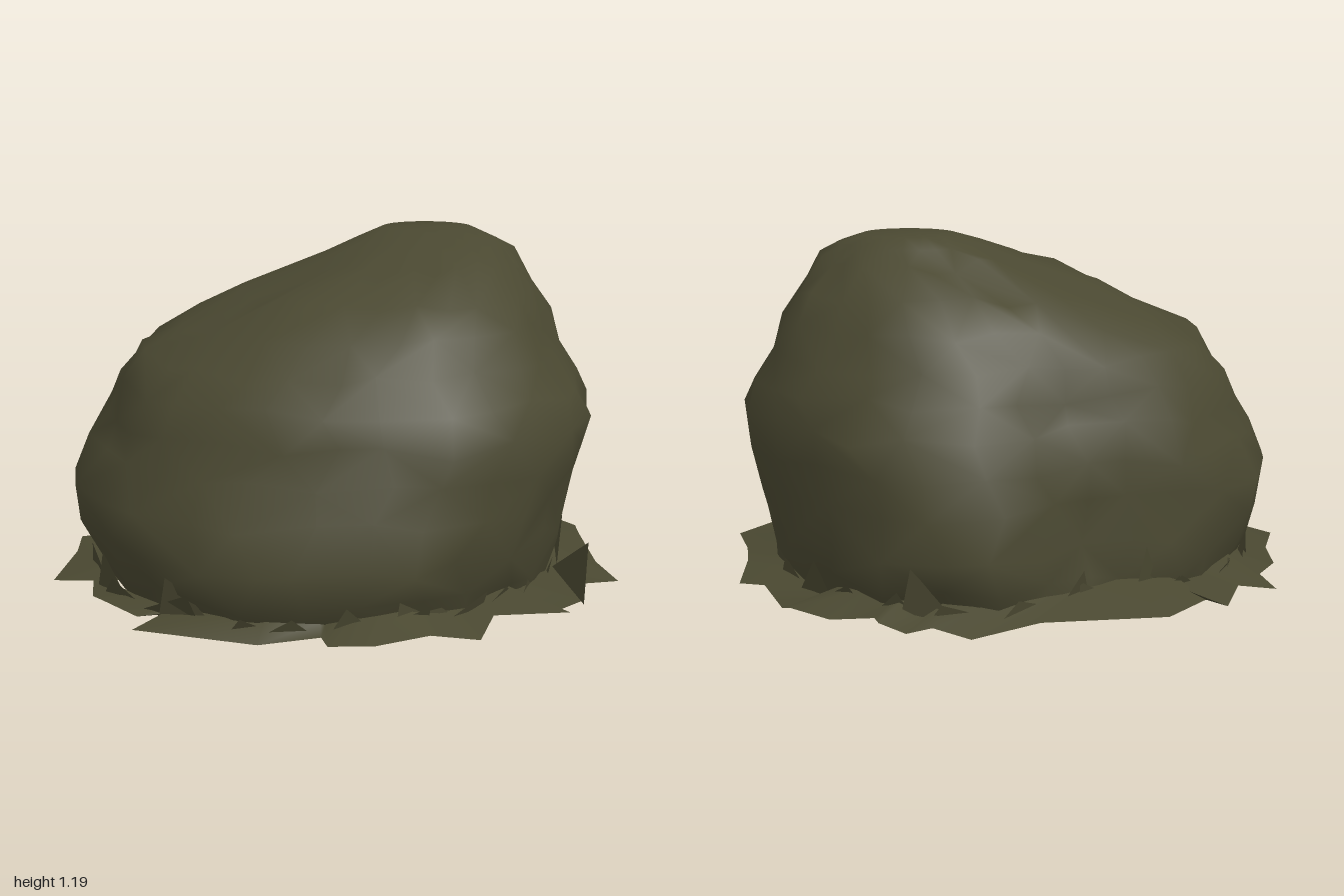
import * as THREE from 'three';

// Small seeded random generator
function seeded(seed) {
  let s = seed;
  return () => {
    s = (s * 16807) % 2147483647;
    return s / 2147483647;
  };
}

function surface(positions, indices) {
  const g = new THREE.BufferGeometry();
  g.setAttribute('position', new THREE.Float32BufferAttribute(positions, 3));
  if (indices) g.setIndex(indices);
  g.computeVertexNormals();
  return g;
}

// Cross-sections of the boulder: height, x min, x max, z min, z max,
// then fullness of the corners: front left, front right, back right, back left
const SECTIONS = [
  [0.0, -0.82, 0.74, -0.83, 0.82, 0.97, 1.0, 0.86, 1.0],
  [0.1, -0.87, 0.77, -0.9, 0.89, 0.98, 1.02, 0.82, 1.03],
  [0.22, -0.91, 0.78, -0.91, 0.90, 1.01, 1.03, 0.78, 1.05],
  [0.36, -0.94, 0.81, -0.89, 0.85, 1.04, 1.03, 0.78, 1.06],
  [0.48, -0.87, 0.84, -0.88, 0.79, 1.06, 1.04, 0.8, 1.07],
  [0.59, -0.83, 0.86, -0.83, 0.76, 1.06, 1.04, 0.82, 1.07],
  [0.7, -0.78, 0.81, -0.77, 0.72, 1.06, 1.04, 0.85, 1.1],
  [0.8, -0.70, 0.75, -0.71, 0.64, 1.05, 1.04, 0.88, 1.12],
  [0.9, -0.55, 0.71, -0.66, 0.55, 1.04, 1.03, 0.92, 1.12],
  [1.0, -0.35, 0.66, -0.59, 0.44, 1.03, 1.02, 0.95, 1.1],
  [1.1, -0.08, 0.60, -0.46, 0.22, 1.02, 1, 1, 1.06],
  [1.15, 0.04, 0.54, -0.40, 0.06, 1, 1, 1, 1],
  [1.185, 0.13, 0.45, -0.35, -0.09, 1, 1, 1, 1],
];

// Torn outline of the ground skirt: x, z
const OUTLINE = [
  [0.01, -1], [0.14, -0.93], [0.22, -0.97], [0.31, -0.95], [0.33, -0.9], [0.48, -0.86],
  [0.62, -0.8], [0.66, -0.72], [0.75, -0.55], [0.85, -0.48], [0.86, -0.28], [0.91, -0.03],
  [0.98, 0.18], [0.86, 0.29], [0.85, 0.49], [0.74, 0.57], [0.8, 0.63], [0.55, 0.68],
  [0.51, 0.83], [0.35, 0.88], [0.18, 0.98], [0.03, 1], [0, 0.88], [-0.2, 0.93],
  [-0.62, 0.83], [-0.52, 0.7], [-0.62, 0.73], [-0.76, 0.6], [-0.81, 0.5], [-0.84, 0.33],
  [-0.98, 0.33], [-0.95, 0.05], [-0.97, -0.14], [-0.92, -0.2], [-0.97, -0.37], [-0.84, -0.4],
  [-0.8, -0.61], [-0.73, -0.52], [-0.61, -0.81], [-0.2, -0.86],
];

// Point on a section at angle t, scaled by k: [x, z]
function sectionPoint(section, t, k) {
  const [, x0, x1, z0, z1, ...corners] = section;
  const turn = (((t / (Math.PI / 2)) % 4) + 4) % 4;
  const q = Math.floor(turn);
  // The back right hollow is steepest toward the back
  const u = q === 2 ? (turn - q) ** 2 : turn - q;
  const r = k * (1 + (corners[q] - 1) * 4 * u * (1 - u));
  return [
    (x0 + x1) / 2 + ((x1 - x0) / 2) * Math.cos(t) * r,
    (z0 + z1) / 2 + ((z1 - z0) / 2) * Math.sin(t) * r,
  ];
}

// Lumpy rock body lofted through the sections
function boulderGeometry() {
  const rand = seeded(71);
  const N = 28;
  const pos = [];
  const idx = [];
  SECTIONS.forEach((section, j) => {
    const y = section[0];
    const fade = Math.min(1, (1.2 - y) * 3);
    for (let i = 0; i < N; i++) {
      const t = ((i + (rand() - 0.5) * 0.5 * fade) / N) * Math.PI * 2;
      const axis = Math.abs(Math.sin(2 * t));
      const lump = 0.01 * Math.sin(9 * t - y * 13) + (rand() - 0.5) * 0.05;
      const [x, z] = sectionPoint(section, t, 1 + fade * lump * (0.4 + 0.6 * axis));
      const lift = j > 0 && j < SECTIONS.length - 2 ? (rand() - 0.5) * 0.05 : 0;
      pos.push(x, y + lift, z);
      if (j > 0) {
        const n = (i + 1) % N;
        const a = (j - 1) * N + i, b = (j - 1) * N + n, c = j * N + i, e = j * N + n;
        if ((i + j) % 2) idx.push(a, c, b, b, c, e);
        else idx.push(a, c, e, a, e, b);
      }
    }
  });
  const top = pos.length / 3;
  pos.push(0.28, 1.19, -0.22);
  const last = (SECTIONS.length - 1) * N;
  for (let i = 0; i < N; i++) idx.push(last + i, top, last + ((i + 1) % N));
  return surface(pos, idx);
}

// Ragged sheet flaring from the foot of the rock onto the ground
function skirtGeometry() {
  const rand = seeded(19);
  const pos = [];
  const idx = [];
  const n = OUTLINE.length;
  OUTLINE.forEach(([x, z], i) => {
    const [ix, iz] = sectionPoint(SECTIONS[1], Math.atan2(z, x + 0.05), 0.95);
    pos.push(x, 0.004 + rand() * 0.035, z);
    pos.push(ix, 0.03 + rand() * 0.07, iz);
    const a = i * 2, b = ((i + 1) % n) * 2;
    idx.push(a, a + 1, b, b, a + 1, b + 1);
  });
  return surface(pos, idx);
}

// Flat underside, set in from the torn edge
function baseGeometry() {
  const pos = [0, 0, 0];
  const idx = [];
  const n = OUTLINE.length;
  OUTLINE.forEach(([x, z], i) => {
    pos.push(x * 0.84, 0, z * 0.84);
    idx.push(0, 1 + i, 1 + ((i + 1) % n));
  });
  return surface(pos, idx);
}

// Upright chips leaning against the foot of the rock
function chipsGeometry() {
  const rand = seeded(43);
  const pos = [];
  const count = 32;
  for (let i = 0; i < count; i++) {
    const t = ((i + rand() * 0.6) / count) * Math.PI * 2;
    const w = 0.08 + rand() * 0.08;
    const h = i % 5 === 0 ? 0.18 + rand() * 0.06 : 0.07 + rand() * 0.09;
    const at = (angle, k, y) => {
      const [x, z] = sectionPoint(SECTIONS[1], angle, k);
      pos.push(x, y, z);
    };
    at(t - w, 0.97, 0.02);
    at(t + (rand() - 0.5) * w * 2, 1.0 + rand() * 0.025, h);
    at(t + w, 1.01, 0.02);
  }
  // Tall spike on the left side
  pos.push(0.74, 0.17, 0.55, 0.855, 0.27, 0.6, 0.85, 0.02, 0.49);
  return surface(pos);
}

export function createModel() {
  const group = new THREE.Group();
  group.name = 'boulder';
  const stone = new THREE.MeshStandardMaterial({ color: 0x4a4831, side: THREE.DoubleSide });
  stone.name = 'dark olive stone';

  const parts = {
    rockBody: boulderGeometry(),
    groundSkirt: skirtGeometry(),
    underside: baseGeometry(),
    footChips: chipsGeometry(),
  };
  for (const [name, geometry] of Object.entries(parts)) {
    const mesh = new THREE.Mesh(geometry, stone);
    mesh.name = name;
    group.add(mesh);
  }
  return group;
}
